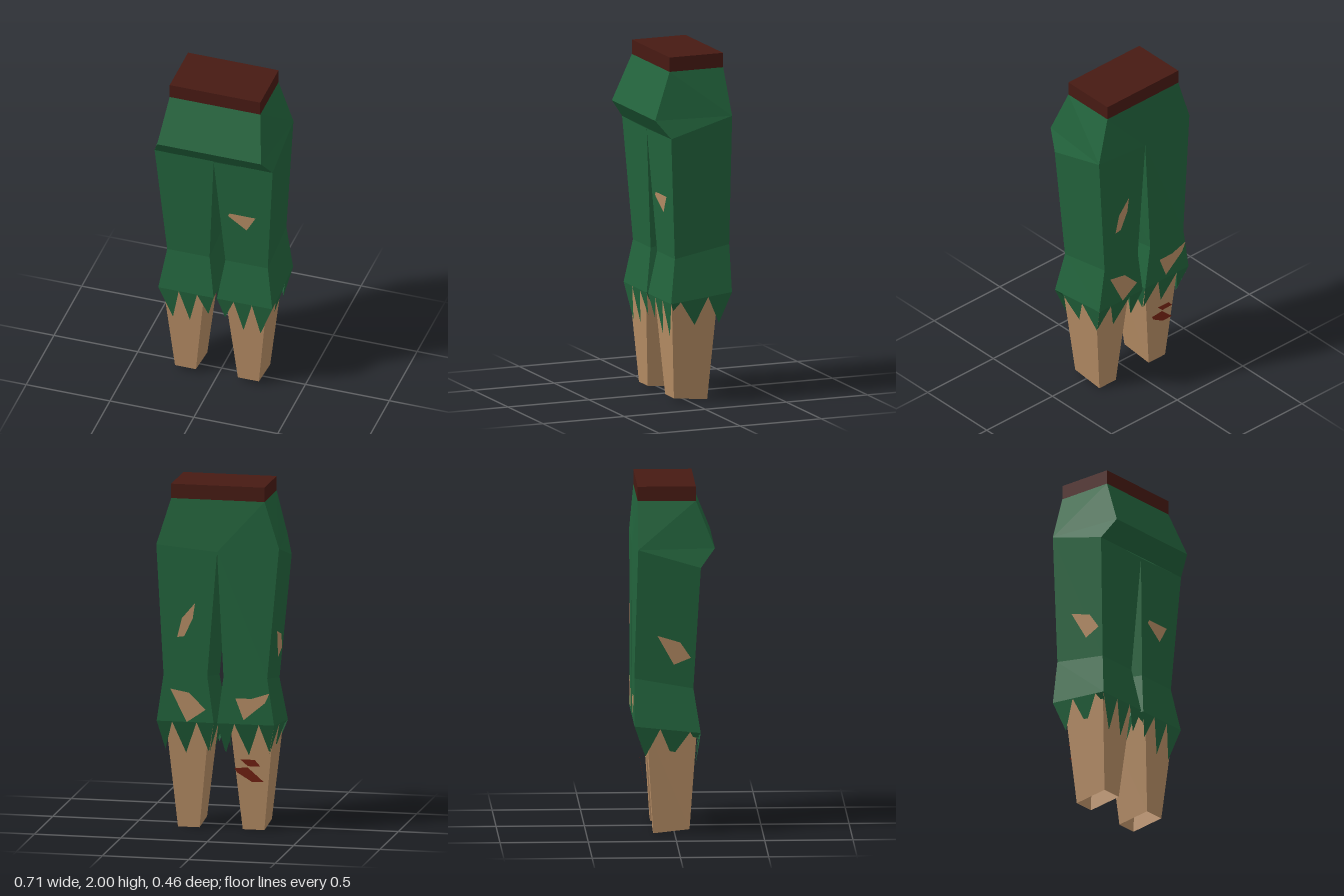
import * as THREE from 'three';

const material = (color) => new THREE.MeshStandardMaterial({ color, flatShading: true, side: THREE.DoubleSide });

// Flat-shaded mesh from a list of polygons, each split into a fan from its first corner
function polyMesh(name, mat, polygons) {
  const pos = [];
  for (const p of polygons) {
    for (let i = 1; i < p.length - 1; i++) pos.push(...p[0], ...p[i], ...p[i + 1]);
  }
  const geo = new THREE.BufferGeometry();
  geo.setAttribute('position', new THREE.Float32BufferAttribute(pos, 3));
  geo.computeVertexNormals();
  const mesh = new THREE.Mesh(geo, mat);
  mesh.name = name;
  return mesh;
}

// Mirrors polygons built for the left (+x) side about x = axis, keeping them facing outward
function forSide(polygons, side, axis) {
  if (side > 0) return polygons;
  return polygons.map((p) => p.map(([x, y, z]) => [2 * axis - x, y, z]).reverse());
}

// Four walls between two rings of corners: inner front, outer front, outer back, inner back
function walls(upper, lower) {
  return upper.map((a, k) => {
    const n = (k + 1) % 4;
    return [a, lower[k], lower[n], upper[n]];
  });
}

const lerp = (a, b, t) => a.map((v, i) => v + (b[i] - v) * t);

// Torn hem: per wall, the inward lean, the valleys and the tips [position, height]
const HEM = [
  { lean: [0, -0.027], valleys: [0, 0.3, 0.63, 1], tips: [[0.12, 0.45], [0.455, 0.385], [0.76, 0.385]] },
  { lean: [-0.04, 0], valleys: [0, 0.16, 0.61, 1], tips: [[0.08, 0.54], [0.43, 0.45], [0.83, 0.45]] },
  { lean: [0, 0.06], valleys: [0, 0.27, 0.7, 1], tips: [[0.12, 0.46], [0.48, 0.44], [0.88, 0.45]] },
  { lean: [0.035, 0], valleys: [0, 0.39, 0.84, 1], tips: [[0.17, 0.45], [0.57, 0.45], [0.92, 0.54]] },
];

function hemSpikes(ring) {
  const out = [];
  HEM.forEach(({ lean, valleys, tips }, k) => {
    const a = ring[k], b = ring[(k + 1) % 4];
    tips.forEach(([t, y], i) => {
      const p = lerp(a, b, t);
      out.push([lerp(a, b, valleys[i]), [p[0] + lean[0], y, p[2] + lean[1]], lerp(a, b, valleys[i + 1])]);
    });
  });
  return out;
}

export function createModel() {
  const group = new THREE.Group();
  group.name = 'tornTrousers';
  const cloth = material(0x22633c);
  const skin = material(0xb58c64);
  const leather = material(0x471a13);
  const blood = material(0x7a2414);

  // Belt
  const belt = new THREE.Mesh(new THREE.BoxGeometry(0.54, 0.085, 0.33), leather);
  belt.name = 'belt';
  belt.position.set(0, 1.9575, -0.045);
  group.add(belt);

  // Hips with an overhanging front
  const hipBack = (s) => (s > 0 ? [0.352, 1.65, -0.23] : [-0.354, 1.65, -0.21]);
  const at = (s, x, y, z) => [s * x, y, z];
  const beltFront = (s) => at(s, 0.27, 1.917, 0.12);
  const beltBack = (s) => at(s, 0.27, 1.917, -0.21);
  const brim = (s) => at(s, 0.31, 1.65, 0.226);
  const low = (s) => at(s, 0.352, 1.545, 0.145);
  const crotchFront = [0, 1.54, 0.145];
  const crotchBack = [0, 1.62, -0.23];
  const hipSide = (s) => [hipBack(s), beltBack(s), beltFront(s), brim(s), low(s)];
  group.add(polyMesh('hips', cloth, [
    [beltFront(-1), brim(-1), brim(1), beltFront(1)],
    [brim(-1), low(-1), low(1), brim(1)],
    [crotchBack, hipBack(-1), beltBack(-1), beltBack(1), hipBack(1)],
    hipSide(1),
    [hipSide(-1)[0], ...hipSide(-1).slice(1).reverse()],
  ]));

  // Trouser legs and bare calves
  const knee = [[0.057, 0.84, 0.105], [0.31, 0.84, 0.105], [0.31, 0.9, -0.23], [0.057, 0.9, -0.23]];
  const hem = [[0.02, 0.59, 0.145], [0.35, 0.59, 0.145], [0.35, 0.63, -0.23], [0.02, 0.63, -0.23]];
  const calfTop = [[0.06, 0.62, 0.125], [0.312, 0.62, 0.125], [0.312, 0.62, -0.16], [0.06, 0.62, -0.16]];
  const ankle = [[0.125, 0.022, 0.085], [0.25, 0.022, 0.085], [0.25, 0, -0.12], [0.125, 0, -0.12]];
  for (const side of [1, -1]) {
    const label = side > 0 ? 'left' : 'right';
    // Hip corners, pre-mirrored so both legs meet the hips exactly
    const top = [crotchFront, low(side), hipBack(side), crotchBack]
      .map(([x, y, z]) => [side > 0 ? x : 0.02 - x, y, z]);
    const leg = [...walls(top, knee), ...walls(knee, hem), ...hemSpikes(hem)];
    group.add(polyMesh(label + 'TrouserLeg', cloth, forSide(leg, side, 0.01)));
    group.add(polyMesh(label + 'Calf', skin, forSide(walls(calfTop, ankle), side, 0)));
  }

  // Holes showing skin, laid just over the cloth
  const onBack = (pts) => [pts.map(([x, y]) => [x, y, -0.234])];
  const onFront = (pts) => [pts.map(([x, y]) => [x, y, 0.109 + (y - 0.84) * 0.057])];
  const onRightSide = (pts) => [pts.map(([z, y]) => [-0.32 + 0.088 * (1.15 - y), y, z])];
  group.add(polyMesh('frontHole', skin, onFront([[0.08, 1.17], [0.19, 1.09], [0.245, 1.19], [0.09, 1.19]])));
  group.add(polyMesh('sideHole', skin, onRightSide([[-0.1, 1.15], [-0.006, 0.98], [0.09, 1.02], [0.03, 1.11]])));
  group.add(polyMesh('thighHole', skin, onBack([[0.127, 1.32], [0.203, 1.23], [0.23, 1.12], [0.19, 1.126], [0.14, 1.23]])));
  group.add(polyMesh('leftKneeHole', skin, onBack([[0.16, 0.8], [0.27, 0.82], [0.175, 0.63], [0.066, 0.705]])));
  group.add(polyMesh('rightKneeHole', skin,
    onBack([[-0.2, 0.78], [-0.106, 0.78], [-0.154, 0.655], [-0.277, 0.758], [-0.304, 0.815]])));

  // Cuts on the back of the right calf
  const cut = (name, pts) =>
    group.add(polyMesh(name, blood, [pts.map(([x, y]) => [x, y, -0.17 - (y - 0.29) * 0.2])]));
  cut('lowerCut', [[-0.092, 0.365], [-0.105, 0.34], [-0.188, 0.287], [-0.256, 0.29], [-0.167, 0.373]]);
  cut('upperCut', [[-0.126, 0.42], [-0.17, 0.38], [-0.24, 0.383], [-0.21, 0.42]]);

  return group;
}
